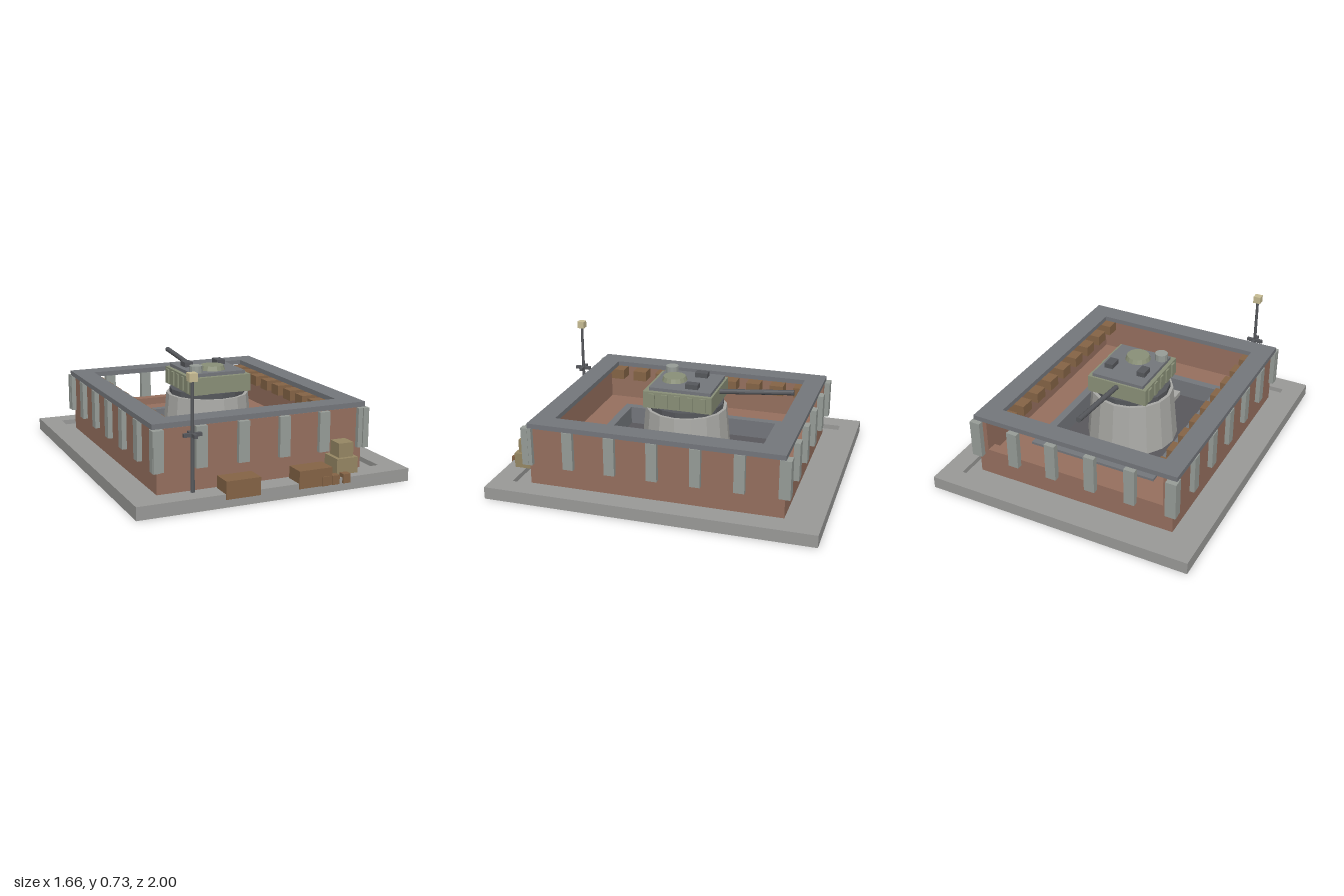
import * as THREE from 'three';

const mat = (color) => new THREE.MeshStandardMaterial({ color, flatShading: true });
const M = {
  stone: mat(0x9a9a98), brick: mat(0x96705f), roof: mat(0x74777c), pillar: mat(0x979d98),
  dark: mat(0x59585c), wood: mat(0x856446), tan: mat(0x968764), green: mat(0x8a9078),
  metal: mat(0x56585c), concrete: mat(0xa9a9a5), lamp: mat(0xc8bd94),
};

export function createModel() {
  const root = new THREE.Group();

  const add = (geometry, material, name, parent = root) => {
    const mesh = new THREE.Mesh(geometry, material);
    mesh.name = name;
    parent.add(mesh);
    return mesh;
  };
  // Box given by its limits on each axis
  const box = (name, material, x0, x1, y0, y1, z0, z1, parent) => {
    const mesh = add(new THREE.BoxGeometry(x1 - x0, y1 - y0, z1 - z0), material, name, parent);
    mesh.position.set((x0 + x1) / 2, (y0 + y1) / 2, (z0 + z1) / 2);
    return mesh;
  };
  const cyl = (name, material, rTop, rBottom, y0, y1, x, z, sides, parent) => {
    const mesh = add(new THREE.CylinderGeometry(rTop, rBottom, y1 - y0, sides), material, name, parent);
    mesh.position.set(x, (y0 + y1) / 2, z);
    return mesh;
  };
  // Rectangular ring lying flat; outer and inner are [x half width, z back, z front]
  const ring = (name, material, outer, inner, y0, y1) => {
    const rect = (path, [hx, zb, zf]) => path.moveTo(-hx, -zf).lineTo(hx, -zf)
      .lineTo(hx, -zb).lineTo(-hx, -zb).closePath();
    const shape = rect(new THREE.Shape(), outer);
    shape.holes.push(rect(new THREE.Path(), inner));
    const geometry = new THREE.ExtrudeGeometry(shape, { depth: y1 - y0, bevelEnabled: false });
    geometry.rotateX(-Math.PI / 2).translate(0, y0, 0);
    return add(geometry, material, name);
  };

  // Ground slab with a raised border
  box('groundSlab', M.stone, -0.83, 0.83, 0, 0.045, -1, 0.985);
  ring('slabBorder', M.stone, [0.83, -1, 0.985], [0.705, -0.88, 0.86], 0.045, 0.075);

  // Brick walls; the back one is only a low sill
  for (const s of [-1, 1]) {
    box('sideWall', M.brick, s < 0 ? -0.637 : 0.575, s < 0 ? -0.575 : 0.637, 0.045, 0.41, -0.775, 0.77);
  }
  box('frontWall', M.brick, -0.575, 0.575, 0.045, 0.41, 0.71, 0.77);
  box('backSill', M.brick, -0.575, 0.575, 0.045, 0.215, -0.775, -0.71);
  ring('roofFrame', M.roof, [0.66, -0.778, 0.768], [0.535, -0.655, 0.64], 0.41, 0.44);

  // Stepped interior
  ring('firingStep', M.brick, [0.575, -0.71, 0.71], [0.41, -0.555, 0.54], 0.045, 0.17);
  ring('pitRim', M.roof, [0.41, -0.555, 0.54], [0.36, -0.505, 0.49], 0.045, 0.185);
  box('pitFloor', M.dark, -0.36, 0.36, 0.045, 0.07, -0.505, 0.49);
  box('walkway', M.concrete, -0.108, 0.108, 0.07, 0.1, 0.2, 0.488);

  // Pillars on all four sides
  const pillars = new THREE.Group();
  pillars.name = 'pillars';
  root.add(pillars);
  for (let i = 0; i < 6; i++) {
    const x = -0.635 + i * 0.254;
    box('frontPillar', M.pillar, x - 0.033, x + 0.033, 0.175, 0.41, 0.765, 0.797, pillars);
    box('backPillar', M.pillar, x - 0.033, x + 0.033, 0.175, 0.41, -0.81, -0.772, pillars);
  }
  for (let i = 0; i < 7; i++) {
    const z = -0.775 + i * 0.2583;
    for (const s of [-1, 1]) {
      box('sidePillar', M.pillar, s * 0.648 - 0.018, s * 0.648 + 0.018, 0.175, 0.41, z - 0.032, z + 0.032, pillars);
    }
  }

  // Beam ends under the side roofs
  for (let i = 0; i < 9; i++) {
    const z = -0.637 + i * 0.158;
    for (const s of [-1, 1]) {
      box('beamEnd', M.wood, s * 0.527 - 0.052, s * 0.527 + 0.052, 0.335, 0.4, z - 0.045, z + 0.045);
    }
  }

  // Gun turret on a tapered pedestal
  const turret = new THREE.Group();
  turret.name = 'turret';
  root.add(turret);
  cyl('pedestal', M.concrete, 0.255, 0.285, 0.07, 0.4, 0, -0.01, 16, turret);
  cyl('turretRing', M.metal, 0.235, 0.235, 0.4, 0.432, 0, -0.01, 16, turret);
  box('turretBody', M.green, -0.195, 0.195, 0.43, 0.535, -0.225, 0.208, turret);
  box('turretRoof', M.roof, -0.17, 0.17, 0.535, 0.555, -0.212, 0.178, turret);
  for (let i = 0; i < 5; i++) {
    const z = -0.17 + i * 0.08;
    for (const s of [-1, 1]) {
      box('armourRib', M.green, s * 0.198 - 0.007, s * 0.198 + 0.007, 0.44, 0.525, z - 0.018, z + 0.018, turret);
    }
  }
  cyl('hatch', M.green, 0.07, 0.08, 0.555, 0.582, 0, 0.067, 16, turret);
  cyl('cupola', M.pillar, 0.04, 0.04, 0.55, 0.598, -0.132, 0.124, 12, turret);
  for (const s of [-1, 1]) {
    box('periscope', M.metal, s * 0.108 - 0.027, s * 0.108 + 0.027, 0.555, 0.585, -0.12, -0.04, turret);
  }
  const barrelPath = new THREE.LineCurve3(new THREE.Vector3(0, 0.508, -0.2), new THREE.Vector3(0, 0.553, -0.685));
  const barrel = cyl('gunBarrel', M.metal, 0.016, 0.016, 0, barrelPath.getLength(), 0, 0, 12, turret);
  barrel.position.copy(barrelPath.getPoint(0.5));
  barrel.quaternion.setFromUnitVectors(new THREE.Vector3(0, 1, 0), barrelPath.getTangent(0));

  // Lamp post
  cyl('lampPost', M.metal, 0.009, 0.013, 0.045, 0.685, -0.472, 0.878, 8);
  box('postCrossbar', M.metal, -0.525, -0.42, 0.382, 0.402, 0.868, 0.888);
  box('postCrossbar', M.metal, -0.482, -0.462, 0.382, 0.402, 0.827, 0.93);
  box('lampHead', M.lamp, -0.496, -0.449, 0.68, 0.725, 0.855, 0.901);

  // Supply crates in front
  box('longCrate', M.wood, -0.325, -0.12, 0.045, 0.147, 0.87, 0.99);
  box('longCrate', M.wood, 0.115, 0.32, 0.045, 0.147, 0.87, 0.99);
  for (const x of [0.278, 0.342, 0.412]) {
    box('smallCrate', M.wood, x - 0.023, x + 0.023, 0.045, 0.098, 0.953, 0.997);
  }
  box('lowerCrate', M.tan, 0.385, 0.52, 0.075, 0.167, 0.795, 0.932);
  box('upperCrate', M.tan, 0.408, 0.502, 0.167, 0.25, 0.815, 0.91);

  return root;
}
